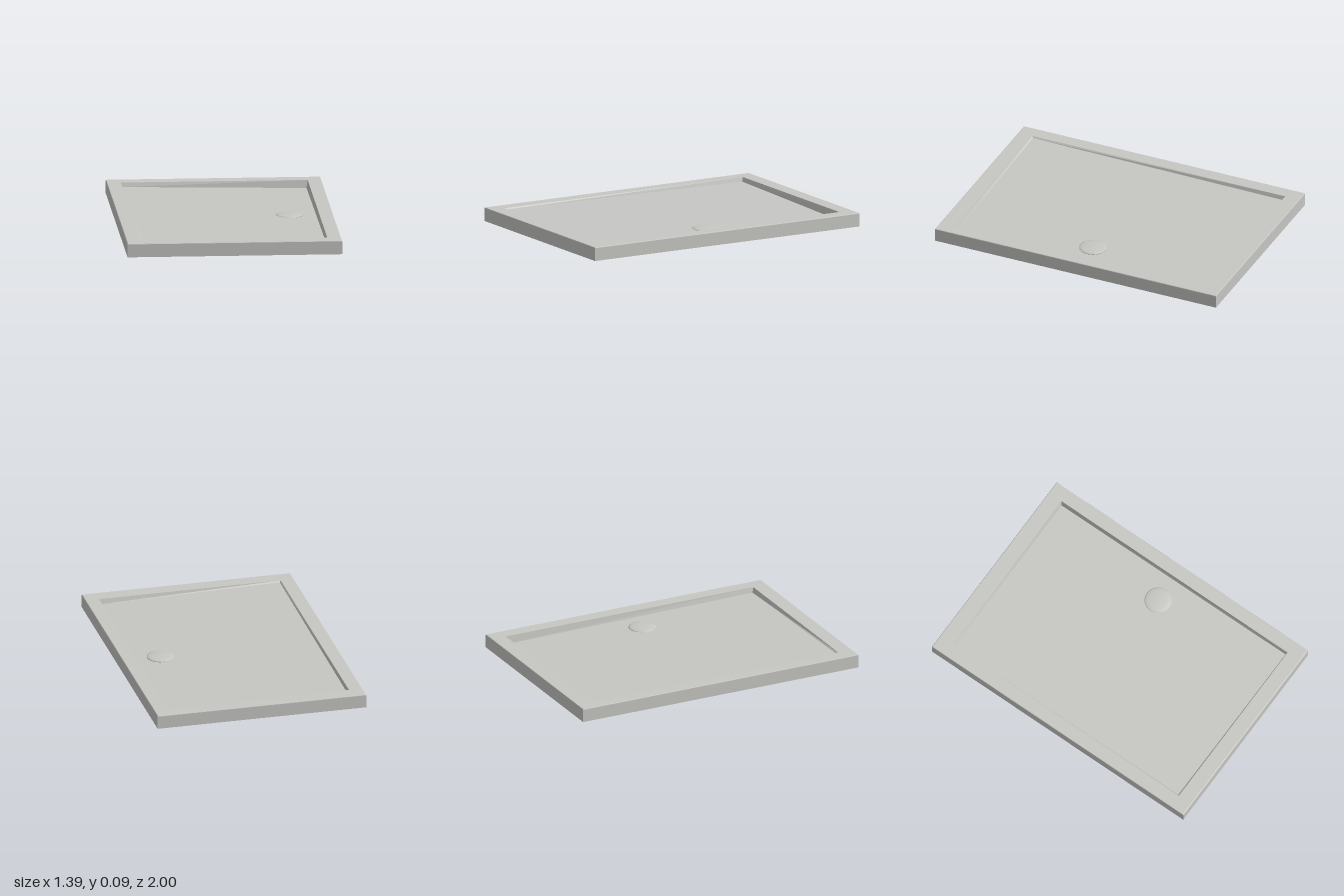
import * as THREE from 'three';

const enamel = new THREE.MeshStandardMaterial({ color: 0xc6c6c3, side: THREE.DoubleSide });
enamel.name = 'light grey enamel';

// Rectangle of four corners, anticlockwise from above; height(sx, sz) gives y
function ring(halfX, halfZ, height) {
  return [[-1, 1], [1, 1], [1, -1], [-1, -1]].map(([sx, sz]) =>
    [sx * halfX, typeof height === 'function' ? height(sx, sz) : height, sz * halfZ]);
}

// Flat-faced skin through successive rings, optionally closing the last
function skin(name, rings, closed) {
  const pos = [];
  const quad = (a, b, c, d) => pos.push(...a, ...b, ...c, ...a, ...c, ...d);
  for (let r = 0; r < rings.length - 1; r++) {
    for (let i = 0; i < 4; i++) {
      const j = (i + 1) % 4;
      quad(rings[r][i], rings[r][j], rings[r + 1][j], rings[r + 1][i]);
    }
  }
  if (closed) quad(...rings[rings.length - 1]);
  const geometry = new THREE.BufferGeometry();
  geometry.setAttribute('position', new THREE.Float32BufferAttribute(pos, 3));
  geometry.computeVertexNormals();
  const mesh = new THREE.Mesh(geometry, enamel);
  mesh.name = name;
  return mesh;
}

export function createModel() {
  const group = new THREE.Group();
  group.name = 'showerTray';
  const top = 0.09;

  // Hollow skirt with a softened upper edge, and the flat rim
  const rimInner = ring(0.607, 0.9, top);
  group.add(skin('skirtAndRim', [
    ring(0.697, 1, 0),
    ring(0.697, 1, top - 0.005),
    ring(0.6955, 0.9985, top - 0.0015),
    ring(0.692, 0.995, top),
    rimInner,
  ], false));

  // Sunken floor, sloping down towards the back left corner
  const floorY = (sx, sz) => top - 0.0305 - 0.012 * sx + 0.009 * sz;
  group.add(skin('basin', [rimInner, ring(0.599, 0.89, floorY)], true));

  // Shallow domed drain cover
  const profile = [[0, -0.004], [0.08, -0.004], [0.088, -0.002], [0.088, 0.003],
    [0.08, 0.006], [0.06, 0.009], [0.03, 0.011], [0, 0.012]]
    .map(([r, y]) => new THREE.Vector2(r, y));
  const drain = new THREE.Mesh(new THREE.LatheGeometry(profile, 48), enamel);
  drain.name = 'drainCover';
  drain.position.set(0.425, floorY(0.7, 0), 0);
  group.add(drain);

  return group;
}
